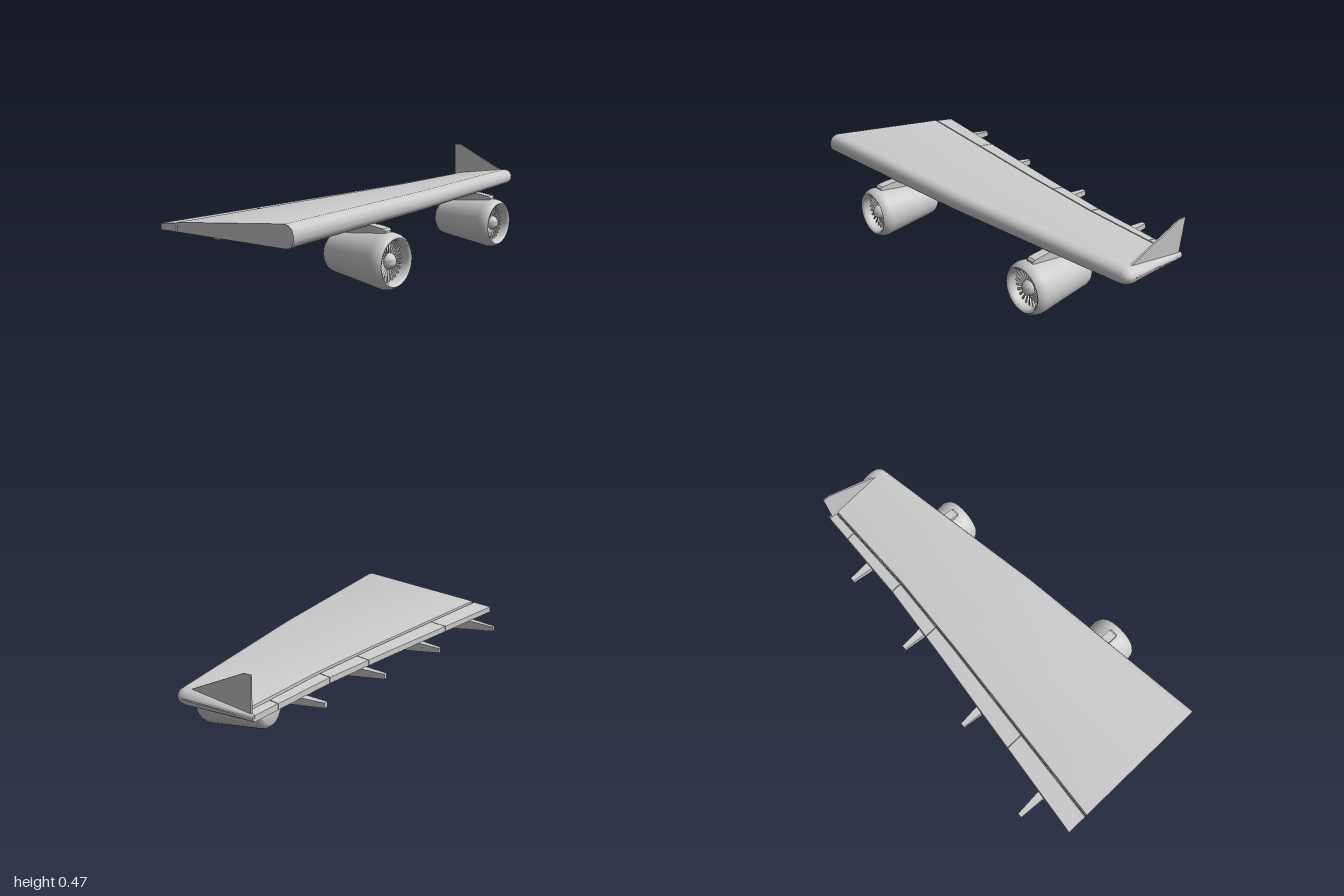
import * as THREE from 'three';
import { toCreasedNormals } from 'three/addons/utils/BufferGeometryUtils.js';

const grey = new THREE.MeshStandardMaterial({ color: 0xcccccc, side: THREE.DoubleSide });

function add(parent, name, geometry, crease = 0.6) {
  const mesh = new THREE.Mesh(toCreasedNormals(geometry, crease), grey);
  mesh.name = name;
  parent.add(mesh);
  return mesh;
}

// Skin a row of equal-length rings (counterclockwise seen from the last ring) and cap both ends
function loft(rings) {
  const pos = [];
  const tri = (a, b, c) => pos.push(...a, ...b, ...c);
  const n = rings[0].length;
  for (let r = 0; r < rings.length - 1; r++) {
    for (let i = 0; i < n; i++) {
      const j = (i + 1) % n, a = rings[r], b = rings[r + 1];
      tri(a[i], a[j], b[j]);
      tri(a[i], b[j], b[i]);
    }
  }
  const first = rings[0], last = rings[rings.length - 1];
  const centre = (ring) => [0, 1, 2].map((k) => ring.reduce((s, p) => s + p[k], 0) / n);
  const c0 = centre(first), c1 = centre(last);
  for (let i = 0; i < n; i++) {
    const j = (i + 1) % n;
    tri(c0, first[j], first[i]);
    tri(c1, last[i], last[j]);
  }
  const g = new THREE.BufferGeometry();
  g.setAttribute('position', new THREE.Float32BufferAttribute(pos, 3));
  return g;
}

// Piecewise linear lookup across the span
function along(table, x) {
  let i = 0;
  while (i < table.length - 2 && x > table[i + 1][0]) i++;
  const [x0, v0] = table[i], [x1, v1] = table[i + 1];
  return v0 + (v1 - v0) * (x - x0) / (x1 - x0);
}
const leading = (x) => along([[-1, 0.415], [0, 0.325], [0.95, 0.2]], x);
const trailing = (x) => along([[-1, -0.39], [0, -0.26], [0.43, -0.21], [0.95, -0.18]], x);
const seam = (x) => along([[-1, -0.28], [0, -0.18], [0.43, -0.145], [0.95, -0.13]], x);

// Upper and lower wing surface heights
function heights(x, z) {
  const t = (x + 1) / 1.95;
  const f = (leading(x) - 0.04 - z) / (leading(x) - 0.04 - trailing(x));
  const mix = THREE.MathUtils.lerp;
  return {
    top: mix(mix(0.374, 0.348, t), mix(0.283, 0.296, t), f),
    bottom: mix(mix(0.276, 0.268, t), mix(0.25, 0.264, t), f),
  };
}

// Wing cross-section from the rounded nose back to zBack
function wingSection(x, zBack) {
  const zl = leading(x);
  const nose = heights(x, zl - 0.04), back = heights(x, zBack);
  const h = nose.top - nose.bottom;
  return [
    [zBack, back.top], [zl - 0.045, nose.top], [zl - 0.025, nose.top - 0.05 * h],
    [zl - 0.009, nose.top - 0.17 * h], [zl, nose.top - 0.38 * h], [zl, nose.top - 0.65 * h],
    [zl - 0.009, nose.top - 0.84 * h], [zl - 0.022, nose.top - 0.95 * h],
    [zl - 0.04, nose.bottom], [zBack, back.bottom],
  ].map(([z, y]) => [x, y, z]);
}

function flapSection(x) {
  const z0 = seam(x) - 0.006, z1 = trailing(x);
  const a = heights(x, z0), b = heights(x, z1);
  return [
    [x, b.bottom, z1], [x, b.top - 0.004, z1],
    [x, a.top - 0.004, z0 - 0.006], [x, a.top - 0.014, z0],
    [x, a.bottom, z0],
  ];
}

// Rectangular rings running from back to front: [z, half width, bottom, top]
const boxRings = (x, rows) => rows.map(([z, w, b, t]) => [
  [x - w, b, z], [x + w, b, z], [x + w, t, z], [x - w, t, z],
]);

function makeEngine(x, y, z) {
  const engine = new THREE.Group();
  engine.name = 'engine';
  const lathe = (pts) => new THREE.LatheGeometry(pts.map(([r, h]) => new THREE.Vector2(r, h)), 36)
    .rotateX(Math.PI / 2);

  // Nacelle shell with closed tail, rounded lip and inner duct
  add(engine, 'nacelle', lathe([
    [0, -0.355], [0.065, -0.355], [0.077, -0.35], [0.088, -0.336], [0.093, -0.32],
    [0.124, -0.055], [0.125, -0.04], [0.121, -0.022], [0.114, -0.008], [0.106, 0],
    [0.099, -0.003], [0.094, -0.012], [0.091, -0.03], [0.091, -0.08], [0, -0.08],
  ]), 0.7);

  // Fan blades
  const fan = new THREE.Group();
  fan.name = 'fan';
  const blades = 24;
  for (let i = 0; i < blades; i++) {
    const blade = new THREE.BoxGeometry(0.01, 0.065, 0.005);
    blade.rotateY(0.6).translate(0, 0.06, -0.045).rotateZ(i * 2 * Math.PI / blades);
    add(fan, 'fanBlade', blade);
  }
  engine.add(fan);

  // Spinner
  add(engine, 'spinner', lathe([
    [0.036, -0.08], [0.036, -0.04], [0.031, -0.028], [0.02, -0.016], [0.009, -0.009], [0, -0.007],
  ]), 0.8);
  engine.position.set(x, y, z);
  return engine;
}

export function createModel() {
  const model = new THREE.Group();
  model.name = 'wingAssembly';

  // Main wing panel up to the flap seam
  const wing = new THREE.Group();
  wing.name = 'wing';
  add(wing, 'wingPanel', loft([-1, 0, 0.43, 0.95].map((x) => wingSection(x, seam(x)))));

  // Rounded tip, wider toward the leading edge
  const tipBase = wingSection(0.95, -0.18);
  const tipRings = [0, 0.25, 0.5, 0.75, 0.95].map((s) => {
    const a = s * Math.PI / 2;
    return tipBase.map(([x, y, z]) => {
      const width = 0.012 + 0.038 * Math.min(1, (z + 0.18) / 0.32);
      const mid = 0.308 - 0.025 * (0.15 - z) / 0.33;
      const inset = z > 0.1 ? 0.05 * (1 - Math.cos(a)) : 0;
      return [x + width * Math.sin(a), mid + (y - mid) * Math.cos(a), z - inset];
    });
  });
  add(wing, 'wingTip', loft(tipRings), 0.8);
  model.add(wing);

  // Trailing edge flaps, split by narrow gaps
  const breaks = [-1, -0.53, 0.14, 0.43, 0.8, 0.95];
  for (let i = 0; i < breaks.length - 1; i++) {
    const x0 = breaks[i] + (i ? 0.002 : 0), x1 = breaks[i + 1] - 0.002;
    const kinks = [0].filter((k) => k > x0 && k < x1);
    add(model, 'flap', loft([x0, ...kinks, x1].map(flapSection)));
  }

  // Winglet, leaning slightly outward
  const outline = [[-0.165, 0.28], [-0.178, 0.467], [-0.14, 0.467], [0.15, 0.335]];
  add(model, 'winglet', loft([-0.005, 0.005].map((d) =>
    outline.map(([z, y]) => [0.95 + (y - 0.3) * 0.06 + d * (y > 0.4 ? 0.6 : 1), y, z]))));

  // Flap track fairings: [x, tail z, lowest y]
  for (const [x, e, b] of [[-0.79, -0.497, 0.193], [-0.3, -0.405, 0.201],
    [0.18, -0.355, 0.209], [0.625, -0.31, 0.217]]) {
    const under = (z) => heights(x, z).bottom + 0.006;
    const te = trailing(x);
    add(model, 'flapTrackFairing', loft(boxRings(x, [
      [e, 0.011, b + 0.02, b + 0.044],
      [te, 0.02, b + 0.012, under(te) - 0.004],
      [e + 0.262, 0.026, b, under(e + 0.262)],
      [e + 0.32, 0.02, b + 0.014, under(e + 0.32)],
      [e + 0.345, 0.012, b + 0.026, under(e + 0.345)],
    ])), 0.3);
  }

  // Engines with pylons
  for (const [x, y, z] of [[-0.465, 0.138, 0.495], [0.555, 0.127, 0.373]]) {
    model.add(makeEngine(x, y, z));
    add(model, 'pylon', loft(boxRings(x, [
      [z - 0.33, 0.012, y + 0.08, 0.275],
      [z - 0.24, 0.022, y + 0.09, 0.285],
      [z - 0.11, 0.022, y + 0.11, y + 0.147],
      [z - 0.055, 0.022, y + 0.115, y + 0.141],
      [z - 0.045, 0.018, y + 0.118, y + 0.132],
    ])), 0.3);
  }
  return model;
}
